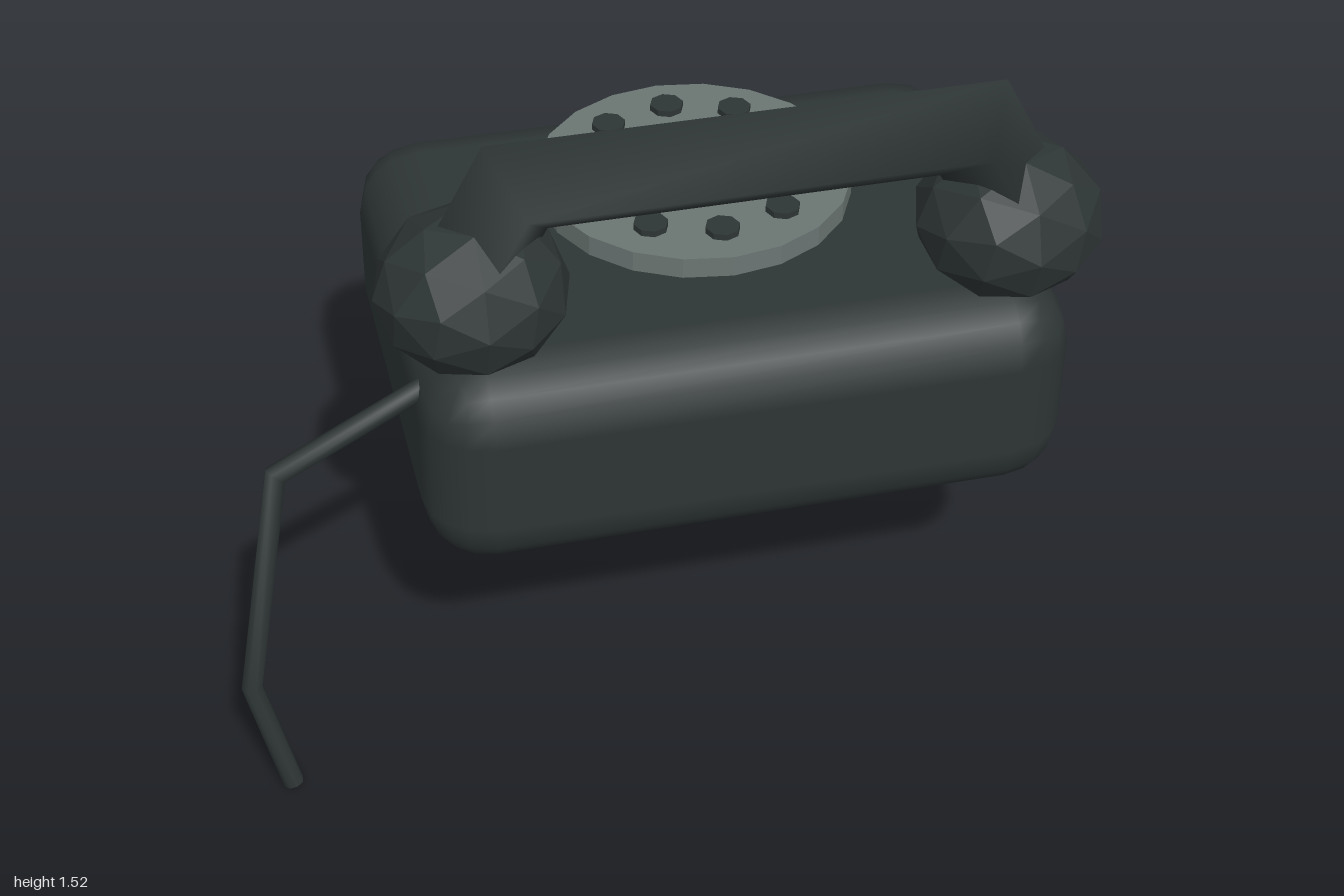
import * as THREE from 'three';
import { RoundedBoxGeometry } from 'three/addons/geometries/RoundedBoxGeometry.js';

const DARK = 0x2e3535, GREY = 0x6b7673;
const CX = 0.185; // centre line of the body

function part(name, geometry, color, flatShading, x = 0, y = 0, z = 0) {
  const material = new THREE.MeshStandardMaterial({ color, flatShading });
  const mesh = new THREE.Mesh(geometry, material);
  mesh.name = name;
  mesh.position.set(x, y, z);
  return mesh;
}

// Sweep an n-sided section along straight runs with mitred corners and closed ends
function mitredSweep(path, sides, ru, rv) {
  const pts = path.map((p) => new THREE.Vector3(...p));
  const dirs = pts.slice(1).map((p, i) => p.clone().sub(pts[i]).normalize());
  const d0 = dirs[0];
  const u = new THREE.Vector3(0, 0, 1).cross(d0).normalize();
  const v = d0.clone().cross(u);
  let ring = [];
  for (let k = 0; k < sides; k++) {
    const a = (k / sides) * Math.PI * 2;
    ring.push(pts[0].clone().addScaledVector(u, ru * Math.cos(a)).addScaledVector(v, rv * Math.sin(a)));
  }
  const rings = [ring];
  for (let i = 1; i < pts.length; i++) {
    const d = dirs[i - 1];
    const n = d.clone().add(dirs[i] || d).normalize();
    ring = ring.map((p) => p.clone().addScaledVector(d, n.dot(pts[i].clone().sub(p)) / n.dot(d)));
    rings.push(ring);
  }
  const last = rings.length - 1;
  const index = [];
  for (let i = 0; i < last; i++) {
    for (let k = 0; k < sides; k++) {
      const a = i * sides + k, b = i * sides + ((k + 1) % sides);
      index.push(a, b, a + sides, b, b + sides, a + sides);
    }
  }
  // End caps use their own copies of the rings so they stay crisp
  const s = (last + 1) * sides, e = s + sides;
  for (let k = 1; k < sides - 1; k++) index.push(s, s + k + 1, s + k, e, e + k, e + k + 1);
  const all = [...rings, rings[0], rings[last]].flat();
  const geometry = new THREE.BufferGeometry().setFromPoints(all);
  geometry.setIndex(index);
  geometry.computeVertexNormals();
  return geometry;
}

export function createModel() {
  const model = new THREE.Group();
  model.name = 'telephone';

  // Body with softly rounded edges
  model.add(part('body', new RoundedBoxGeometry(1.48, 0.525, 1.1, 2, 0.15), DARK, false, CX, 0.767, -0.025));

  // Dial plate with a ring of ten finger spots
  const dial = new THREE.Group();
  dial.name = 'dial';
  dial.position.set(CX, 1.075, -0.112);
  dial.add(part('dialPlate', new THREE.CylinderGeometry(0.364, 0.364, 0.05, 20), GREY, true));
  const spot = new THREE.CylinderGeometry(0.04, 0.04, 0.025, 8);
  for (let i = 0; i < 10; i++) {
    const a = (i / 10) * Math.PI * 2;
    dial.add(part('fingerSpot', spot, DARK, true, 0.26 * Math.sin(a), 0.0275, 0.26 * Math.cos(a)));
  }
  model.add(dial);

  // Handset: diamond-section grip with a faceted ball at each end
  const handset = new THREE.Group();
  handset.name = 'handset';
  handset.position.set(CX, 0, 0.33);
  const grip = [[-0.62, 1.19, 0], [-0.5, 1.413, 0], [0.5, 1.413, 0], [0.62, 1.19, 0]];
  handset.add(part('handsetGrip', mitredSweep(grip, 4, 0.112, 0.136), DARK, false));
  const ball = new THREE.IcosahedronGeometry(0.213, 1);
  ball.rotateY(Math.atan(2 / (1 + Math.sqrt(5)))).rotateX(-Math.PI / 2).scale(1, 0.86, 0.98);
  handset.add(part('earpiece', ball, DARK, true, -0.6, 1.175, 0));
  handset.add(part('mouthpiece', ball, DARK, true, 0.6, 1.175, 0));
  model.add(handset);

  // Cord hanging from the side
  const cord = [[-0.48, 0.94, 0.315], [-0.872, 0.825, 0.43], [-0.975, 0.29, 0.503], [-0.908, 0.007, 0.54]];
  model.add(part('cord', mitredSweep(cord, 8, 0.024, 0.024), DARK, false));

  return model;
}
